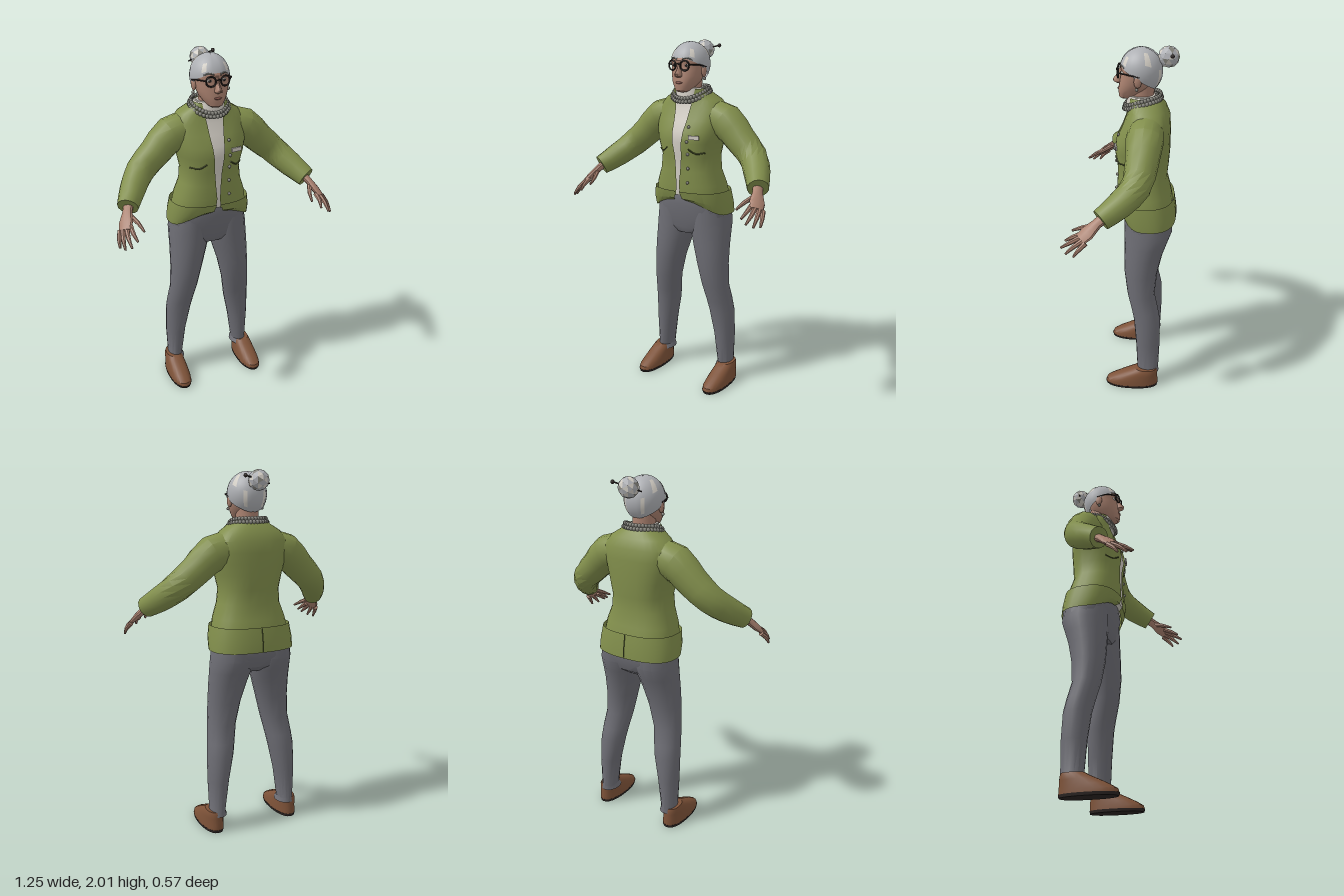
import * as THREE from 'three';
import { toCreasedNormals } from 'three/addons/utils/BufferGeometryUtils.js';

const colour = (name, hex, side = THREE.FrontSide) => {
  const m = new THREE.MeshStandardMaterial({ color: hex, side });
  m.name = name;
  return m;
};
const V = (p) => new THREE.Vector3(p[0], p[1], p[2]);
const TAU = Math.PI * 2;

// Skin a grid of points, rows running along the part, with optional end caps.
function skin(rows, caps = true, crease = 0.55) {
  const pos = [], idx = [], n = rows[0].length;
  rows.forEach((r) => r.forEach((p) => pos.push(p.x, p.y, p.z)));
  for (let i = 0; i < rows.length - 1; i++) for (let j = 0; j < n - 1; j++) {
    const a = i * n + j, b = a + n;
    idx.push(a, a + 1, b + 1, a, b + 1, b);
  }
  if (caps) [0, rows.length - 1].forEach((i) => {
    const c = new THREE.Vector3();
    for (let j = 0; j < n - 1; j++) c.addScaledVector(rows[i][j], 1 / (n - 1));
    const k = pos.length / 3;
    pos.push(c.x, c.y, c.z);
    for (let j = 0; j < n - 1; j++) {
      const a = i * n + j;
      if (i) idx.push(k, a, a + 1); else idx.push(k, a + 1, a);
    }
  });
  const g = new THREE.BufferGeometry();
  g.setAttribute('position', new THREE.Float32BufferAttribute(pos, 3));
  g.setIndex(idx);
  return toCreasedNormals(g, crease);
}

// Horizontal rings [y, half width, front z, back z, front gap], bottom to top.
function loft(rings, { x = 0, n = 2.3, seg = 24, caps = true, lift = () => 0 } = {}) {
  const pw = (v) => Math.sign(v) * Math.pow(Math.abs(v), 2 / n);
  return skin(rings.map(([y, w, zf, zb, gap = 0], i) => {
    const a0 = Math.asin(Math.pow(gap / w, n / 2)), row = [];
    for (let j = 0; j <= seg; j++) {
      const a = a0 + (TAU - 2 * a0) * j / seg;
      row.push(V([x + w * pw(Math.sin(a)), y + lift(a, i), (zf + zb) / 2 + (zf - zb) / 2 * pw(Math.cos(a))]));
    }
    return row;
  }), caps);
}

// Tapered limb through points [x, y, z, radius, thickness] with a sideways axis.
function limb(pts, { seg = 12, steps = 3, side = [0, 1, 0] } = {}) {
  const curve = new THREE.CatmullRomCurve3(pts.map(V)), N = (pts.length - 1) * steps, rows = [];
  for (let i = 0; i <= N; i++) {
    const t = i / N, k = Math.min(Math.floor(i / steps), pts.length - 2), f = i / steps - k;
    const mix = (q) => THREE.MathUtils.lerp(pts[k][q] ?? pts[k][3], pts[k + 1][q] ?? pts[k + 1][3], f);
    const c = curve.getPoint(t), tan = curve.getTangent(t);
    const a = V(side).addScaledVector(tan, -V(side).dot(tan)).normalize();
    const b = tan.clone().cross(a), row = [];
    for (let j = 0; j <= seg; j++) {
      const w = j / seg * TAU;
      row.push(c.clone().addScaledVector(a, mix(3) * Math.cos(w)).addScaledVector(b, mix(4) * Math.sin(w)));
    }
    rows.push(row);
  }
  return skin(rows);
}

// Patch of the hair cap; angle 0 is the front, v runs from the hairline to the crown.
function hairPatch(a0, a1, v0, v1, grow, seg, rowsN) {
  const rows = [];
  for (let i = 0; i <= rowsN; i++) {
    const v = v0 + (v1 - v0) * i / rowsN, row = [];
    for (let j = 0; j <= seg; j++) {
      const a = a0 + (a1 - a0) * j / seg;
      const th = (1.27 + 1.18 * (1 - Math.cos(a)) / 2) * (1 - v);
      const part = Math.abs(Math.sin(a)) < 0.01 ? 0.975 : 1, r = Math.sin(th) * grow;
      row.push(V([0.107 * r * Math.sin(a), 1.88 + 0.12 * grow * part * Math.cos(th), -0.078 + 0.115 * r * part * Math.cos(a)]));
    }
    rows.push(row);
  }
  return skin(rows, false, 0.8);
}

const BODY = [
  [1.16, 0.213, 0.045, -0.262, 0.014], [1.22, 0.203, 0.05, -0.25, 0.008], [1.3, 0.175, 0.045, -0.228, 0.014],
  [1.38, 0.166, 0.046, -0.235, 0.02], [1.46, 0.185, 0.06, -0.24, 0.027], [1.52, 0.2, 0.05, -0.24, 0.033],
  [1.58, 0.21, 0.022, -0.24, 0.04], [1.64, 0.208, 0, -0.235, 0.046], [1.69, 0.17, -0.015, -0.215, 0.054],
  [1.725, 0.115, -0.015, -0.19, 0.06], [1.75, 0.092, -0.012, -0.168, 0.064]];

// Point on the front of the jacket.
function onFront(x, y, out = 0.003) {
  const k = Math.max(0, BODY.findIndex((r) => r[0] > y) - 1), a = BODY[k], b = BODY[k + 1];
  const [, w, zf, zb] = a.map((v, i) => THREE.MathUtils.lerp(v, b[i], (y - a[0]) / (b[0] - a[0])));
  return [x, y, (zf + zb) / 2 + (zf - zb) / 2 * Math.pow(1 - Math.pow(Math.abs(x) / w, 2.5), 0.4) + out];
}

export function createModel() {
  const model = new THREE.Group();
  const green = colour('cardigan green', 0x828f4c, THREE.DoubleSide), seam = colour('seam green', 0x4c562c);
  const grey = colour('trouser grey', 0x6d6d74), white = colour('shirt white', 0xd2cdc4, THREE.DoubleSide);
  const flesh = colour('skin', 0xab8270), silver = colour('hair silver', 0xaeb0b4, THREE.DoubleSide);
  const brown = colour('shoe brown', 0x7d5238), dark = colour('dark', 0x2b2422);
  const bead = colour('bead grey', 0x85847c), rose = colour('lip rose', 0x8c5a50);
  const add = (name, geo, mat, at, parent = model) => {
    const m = new THREE.Mesh(geo, mat);
    m.name = name;
    if (at) m.position.set(...at);
    parent.add(m);
    return m;
  };
  const ball = (name, r, mat, at) => add(name, new THREE.SphereGeometry(r, 8, 6), mat, at);

  // Cardigan, open down the front, over a shirt
  add('cardigan', loft(BODY, { n: 2.5, seg: 28, caps: false }), green);
  add('shirt', loft(BODY.map(([y, w, f, b]) => [y, w - 0.012, f - 0.009, b + 0.012]), { n: 2.5, seg: 28 }), white);
  add('shirtCollar', loft([[1.67, 0.085, 0, -0.165], [1.71, 0.08, 0, -0.16], [1.755, 0.072, -0.008, -0.155]]), white);
  const rise = (a, i) => (i === 2 ? 0 : (1 - i * 0.6) * 0.08 * Math.pow(Math.max(0, Math.cos(a)), 3));
  add('cardigan hem band', loft([[1.05, 0.24, 0.022, -0.285, 0.04], [1.11, 0.238, 0.045, -0.282, 0.025],
    [1.185, 0.226, 0.056, -0.27, 0.012]], { n: 2.5, seg: 32, caps: false, lift: rise }), green);
  add('hem back seam', limb([[0, 1.055, -0.285, 0.003], [0, 1.11, -0.282, 0.003], [0, 1.18, -0.271, 0.003]], { side: [1, 0, 0], seg: 6 }), seam);
  for (const y of [1.55, 1.47, 1.4, 1.32, 1.24]) ball('button', 0.009, bead, onFront(0.065, y));
  add('brooch', new THREE.BoxGeometry(0.06, 0.022, 0.008), white, onFront(0.105, 1.495, 0.008)).rotation.y = 0.2;

  // Trousers
  add('trouser seat', loft([[0.925, 0.1, -0.02, -0.19], [0.96, 0.19, -0.004, -0.24], [1.02, 0.23, 0, -0.266],
    [1.1, 0.225, 0.02, -0.268], [1.16, 0.2, 0.01, -0.24]], { n: 2.5 }), grey);

  for (const s of [1, -1]) {
    const side = s > 0 ? 'left' : 'right', mir = (pts) => pts.map(([x, ...r]) => [s * x, ...r]);

    // Leg rings: y, inner x, outer x, front z, back z
    const leg = [[0.095, 0.165, 0.272, -0.07, -0.214], [0.12, 0.176, 0.262, -0.085, -0.21], [0.3, 0.15, 0.27, -0.075, -0.215],
      [0.45, 0.118, 0.268, -0.06, -0.213], [0.52, 0.105, 0.262, -0.045, -0.2], [0.62, 0.085, 0.25, -0.02, -0.177],
      [0.75, 0.055, 0.243, -0.002, -0.19], [0.86, 0.023, 0.24, 0, -0.215], [0.93, 0.002, 0.238, 0, -0.24],
      [1, -0.01, 0.236, 0, -0.265], [1.1, 0, 0.22, 0, -0.262]];
    const legRows = leg.map(([y, i, o, f, b]) => {
      const row = [];
      for (let j = 0; j <= 16; j++) {
        const a = j / 16 * TAU;
        row.push(V([s * (i + o) / 2 + (o - i) / 2 * Math.sin(a), y, (f + b) / 2 + (f - b) / 2 * Math.cos(a)]));
      }
      return row;
    });
    add(side + ' trouser leg', skin(legRows), grey);

    // Shoe
    const x = s * 0.235;
    add(side + ' sole', loft([[0, 0.06, 0.1, -0.208], [0.016, 0.063, 0.106, -0.21]], { x }), dark);
    add(side + ' shoe', loft([[0.016, 0.062, 0.104, -0.209], [0.035, 0.061, 0.098, -0.209], [0.058, 0.058, 0.06, -0.207],
      [0.085, 0.054, 0.005, -0.206], [0.108, 0.05, -0.045, -0.205], [0.122, 0.044, -0.07, -0.2]], { x }), brown);

    // Sleeve, cuff and hand
    add(side + ' sleeve', limb(mir([[0.12, 1.6, -0.115, 0.09], [0.215, 1.575, -0.11, 0.098], [0.315, 1.485, -0.1, 0.085],
      [0.405, 1.405, -0.078, 0.078], [0.475, 1.335, 0, 0.07], [0.53, 1.28, 0.086, 0.057]]), { seg: 14, steps: 2 }), green);
    add(side + ' palm', limb(mir([[0.515, 1.295, 0.06, 0.03, 0.024], [0.538, 1.262, 0.105, 0.028, 0.02],
      [0.562, 1.222, 0.15, 0.042, 0.018], [0.577, 1.195, 0.182, 0.036, 0.013]]), { side: [0.75 * s, -0.42, -0.5], steps: 2 }), flesh);
    const fingers = [[[0.545, 1.21, 0.178], [0.545, 1.188, 0.225], [0.535, 1.16, 0.265]],
      [[0.567, 1.202, 0.18], [0.575, 1.172, 0.235], [0.572, 1.14, 0.283]],
      [[0.585, 1.193, 0.17], [0.598, 1.16, 0.218], [0.6, 1.122, 0.256]],
      [[0.598, 1.185, 0.155], [0.613, 1.152, 0.19], [0.618, 1.117, 0.215]],
      [[0.535, 1.25, 0.12], [0.505, 1.222, 0.18], [0.49, 1.195, 0.235]]];
    fingers.forEach((f, i) => add(side + (i === 4 ? ' thumb' : ' finger'),
      limb(mir(f.map((p, k) => [...p, [0.014, 0.0115, 0.006][k]])), { seg: 7, steps: 2 }), flesh));

    // Chest pocket edge and front dart
    add(side + ' pocket edge', limb(mir([[0.07, 1.43], [0.11, 1.405], [0.15, 1.41]]).map(([px, py]) => [...onFront(px, py), 0.004]), { seg: 6 }), seam);

    // Ear, earring, eye, brow and spectacles
    const ear = add(side + ' ear', new THREE.SphereGeometry(0.03, 10, 8), flesh, [s * 0.096, 1.845, -0.065]);
    ear.scale.set(0.4, 1.1, 0.7);
    ball(side + ' earring', 0.009, bead, [s * 0.102, 1.805, -0.06]);
    const eye = ball(side + ' eye', 0.016, white, [s * 0.04, 1.876, 0.013]);
    eye.scale.set(1, 0.6, 0.8);
    ball(side + ' pupil', 0.007, dark, [s * 0.04, 1.876, 0.023]);
    add(side + ' brow', limb(mir([[0.018, 1.908, 0.03, 0.004], [0.042, 1.915, 0.024, 0.004], [0.068, 1.905, 0.006, 0.003]]), { seg: 6, side: [0, 0, 1] }), bead);
    const rim = add(side + ' spectacle rim', new THREE.TorusGeometry(0.026, 0.0045, 6, 20), dark, [s * 0.04, 1.876, 0.04]);
    rim.rotation.y = s * 0.2;
    add(side + ' spectacle arm', limb(mir([[0.066, 1.88, 0.035, 0.004], [0.096, 1.88, -0.01, 0.004], [0.104, 1.868, -0.075, 0.004]]), { seg: 6 }), dark);

    // Pale streaks in the hair
    for (const [a, w, v0, v1] of [[1.95, 0.3, 0.42, 0.72], [0.7, 0.25, 0.12, 0.4], [2.6, 0.2, 0.1, 0.4]])
      add(side + ' hair streak', hairPatch(s * a - w / 2, s * a + w / 2, v0, v1, 1.012, 3, 4), white);
  }

  // Neck, head and face
  add('neck', loft([[1.64, 0.066, -0.02, -0.15], [1.72, 0.06, -0.02, -0.145], [1.82, 0.062, -0.01, -0.15]], { n: 2 }), flesh);
  add('head', loft([[1.733, 0.022, 0.026, -0.02], [1.742, 0.04, 0.037, -0.05], [1.765, 0.058, 0.04, -0.09],
    [1.79, 0.074, 0.04, -0.12], [1.82, 0.086, 0.034, -0.14], [1.85, 0.092, 0.03, -0.15], [1.876, 0.094, 0.024, -0.15],
    [1.9, 0.094, 0.03, -0.15], [1.93, 0.086, 0.018, -0.14], [1.96, 0.07, -0.01, -0.13]], { n: 2.2 }), flesh);
  add('nose', loft([[1.812, 0.012, 0.048, 0.015], [1.82, 0.02, 0.066, 0.015], [1.832, 0.018, 0.07, 0.015],
    [1.855, 0.011, 0.052, 0.01], [1.89, 0.009, 0.034, 0.01]], { n: 2, seg: 12 }), flesh);
  const lips = ball('lips', 0.026, rose, [0, 1.785, 0.034]);
  lips.scale.set(1, 0.3, 0.45);
  add('spectacle bridge', limb([[-0.016, 1.88, 0.045, 0.004], [0, 1.885, 0.05, 0.004], [0.016, 1.88, 0.045, 0.004]], { seg: 6 }), dark);

  // Hair, bun of patched locks, and hair pin
  add('hair', hairPatch(0, TAU, 0, 1, 1, 28, 12), silver);
  const bunShape = new THREE.IcosahedronGeometry(0.056, 1);
  bunShape.computeVertexNormals();
  const faces = bunShape.attributes.position.count / 3;
  for (let i = 0; i < faces; i++) bunShape.addGroup(i * 3, 3, [0, 1, 0, 2, 0, 1, 0][i % 7]);
  add('hair bun', bunShape, [silver, white, bead], [0, 1.952, -0.218]);
  add('hair pin', limb([[-0.07, 1.935, -0.205, 0.004], [0, 1.955, -0.22, 0.004], [0.085, 1.975, -0.237, 0.004]], { seg: 6 }), dark);
  ball('hair pin knob', 0.011, dark, [0.085, 1.975, -0.237]);

  // Two-strand bead necklace
  for (let row = 0; row < 2; row++) for (let i = 0; i < 36; i++) {
    const a = (i + row / 2) / 36 * TAU, c = Math.cos(a);
    ball('necklace bead', 0.0115, bead, [(0.1 + row * 0.01) * Math.sin(a),
      1.757 - row * 0.018 - 0.06 * Math.pow((1 + c) / 2, 2), -0.088 + (0.093 + row * 0.006) * c]);
  }
  return model;
}
